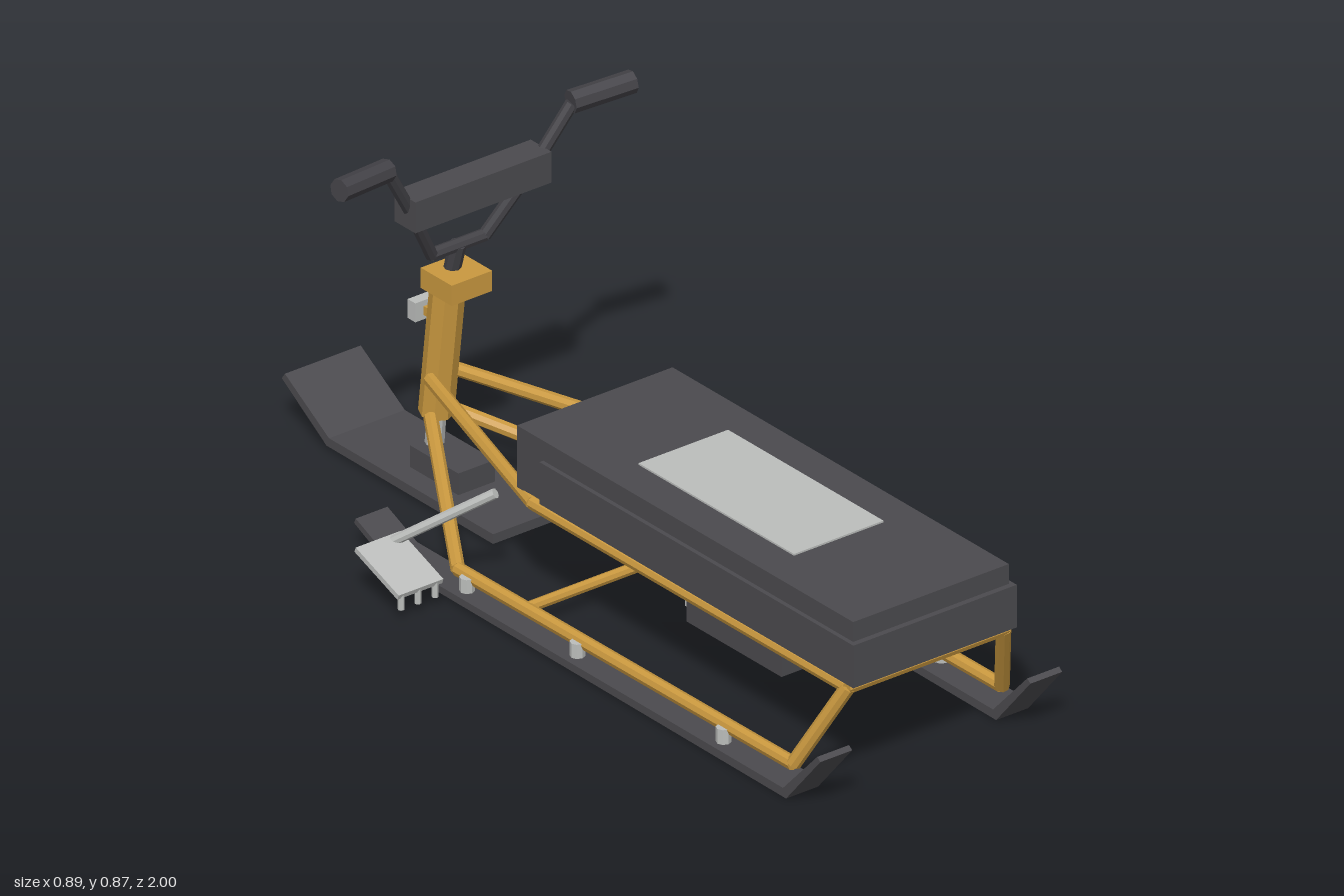
import * as THREE from 'three';

const mat = (name, color) => {
  const m = new THREE.MeshStandardMaterial({ color, flatShading: true });
  m.name = name;
  return m;
};

export function createModel() {
  const root = new THREE.Group();
  root.name = 'snowBike';
  const dark = mat('charcoal', 0x4b4a4e);
  const rubber = mat('blackRubber', 0x434247);
  const gold = mat('goldFrame', 0xc9983f);
  const silver = mat('silver', 0xbcbebc);

  const add = (name, geo, material) => {
    const mesh = new THREE.Mesh(geo, material);
    mesh.name = name;
    root.add(mesh);
    return mesh;
  };
  // Box given by its extents on each axis
  const box = (name, material, [x0, x1], [y0, y1], [z0, z1]) => {
    const mesh = add(name, new THREE.BoxGeometry(x1 - x0, y1 - y0, z1 - z0), material);
    mesh.position.set((x0 + x1) / 2, (y0 + y1) / 2, (z0 + z1) / 2);
    return mesh;
  };
  // Straight eight-sided tube between two points
  const tube = (name, material, a, b, r, sides = 8) => {
    const p = new THREE.Vector3(...a), q = new THREE.Vector3(...b);
    const d = q.clone().sub(p);
    const mesh = add(name, new THREE.CylinderGeometry(r, r, d.length(), sides), material);
    mesh.position.copy(p).add(q).multiplyScalar(0.5);
    mesh.quaternion.setFromUnitVectors(new THREE.Vector3(0, 1, 0), d.normalize());
    return mesh;
  };
  // Ski: side outline of [z, y] points extruded across its width
  const ski = (name, x, width, outline) => {
    const shape = new THREE.Shape(outline.map(([z, y]) => new THREE.Vector2(-z, y)));
    const geo = new THREE.ExtrudeGeometry(shape, { depth: width, bevelEnabled: false });
    geo.translate(0, 0, -width / 2).rotateY(Math.PI / 2);
    add(name, geo, dark).position.x = x;
  };

  // Seat with wider rear base and top panel
  box('seatCushion', dark, [-0.2, 0.2], [0.26, 0.4], [-0.115, 0.967]);
  box('seatBase', dark, [-0.21, 0.21], [0.258, 0.355], [-0.03, 0.98]);
  box('seatPanel', silver, [-0.115, 0.115], [0.399, 0.404], [0.17, 0.67]);

  // Motor box below the seat, with front plate and outlet pipe
  box('motorBox', dark, [-0.115, 0.115], [0.108, 0.223], [0.325, 0.63]);
  box('motorPlate', silver, [-0.095, 0.095], [0.125, 0.212], [0.295, 0.325]);
  tube('outletPipe', silver, [0.09, 0.157, 0.5], [0.225, 0.155, 0.59], 0.015);

  // Cross bars
  tube('rearCrossBar', gold, [-0.205, 0.246, 0.95], [0.205, 0.246, 0.95], 0.015);
  tube('lowerCrossBar', gold, [-0.265, 0.055, 0], [0.265, 0.055, 0], 0.012);

  for (const s of [1, -1]) {
    // Frame side
    const tail = [s * 0.2, 0.246, 0.95], bend = [s * 0.203, 0.248, -0.06];
    const heel = [s * 0.268, 0.057, 0.86], toe = [s * 0.268, 0.053, -0.22];
    tube('upperRail', gold, tail, bend, 0.015);
    tube('upperFrontRail', gold, bend, [s * 0.035, 0.25, -0.6], 0.015);
    tube('rearLeg', gold, tail, heel, 0.016);
    tube('lowerRail', gold, heel, toe, 0.015);
    tube('lowerFrontRail', gold, toe, [s * 0.03, 0.16, -0.605], 0.015);

    // Side ski with upturned ends, and its mounting bolts
    ski('sideSki', s * 0.27, 0.082, [
      [0.89, 0.004], [1, 0.132], [0.99, 0.14], [0.88, 0.024],
      [-0.4, 0.027], [-0.495, 0.068], [-0.5, 0.056], [-0.405, 0.012],
    ]);
    for (const z of [0.65, 0.18, -0.175]) {
      tube('skiBolt', silver, [s * 0.28, 0.02, z], [s * 0.28, 0.058, z], 0.016);
    }

    // Sloping footrest with strut and three pegs
    tube('footrestStrut', silver, [s * 0.235, 0.247, -0.14], [s * 0.36, 0.1, -0.325], 0.011);
    const plate = box('footrest', silver, [-0.0575, 0.0575], [-0.006, 0.006], [-0.074, 0.074]);
    plate.position.set(s * 0.3875, 0.084, -0.26);
    plate.rotation.x = 0.36;
    for (const x of [0.345, 0.389, 0.432]) {
      tube('footrestPeg', silver, [s * x, 0.025, -0.197], [s * x, 0.06, -0.197], 0.007);
    }

    // Handlebar half and grip
    tube('handlebarArm', rubber, [s * 0.068, 0.562, -0.555], [s * 0.162, 0.715, -0.508], 0.014);
    tube('handlebarUpper', rubber, [s * 0.162, 0.715, -0.508], [s * 0.237, 0.835, -0.485], 0.014);
    tube('grip', rubber, [s * 0.235, 0.838, -0.487], [s * 0.377, 0.847, -0.465], 0.025);
  }

  // Steering ski and its mount
  ski('frontSki', 0, 0.195, [
    [-0.32, 0.012], [-0.32, 0.034], [-0.848, 0.034],
    [-0.99, 0.122], [-1, 0.108], [-0.856, 0.014],
  ]);
  box('skiMount', dark, [-0.047, 0.047], [0.032, 0.083], [-0.65, -0.495]);

  // Steering column and lamp
  tube('forkTube', silver, [0, 0.07, -0.632], [0, 0.2, -0.618], 0.02);
  tube('steeringColumn', gold, [0, 0.155, -0.625], [0, 0.48, -0.585], 0.037);
  box('columnHead', gold, [-0.052, 0.052], [0.459, 0.505], [-0.61, -0.51]);
  box('lamp', silver, [-0.036, 0.036], [0.36, 0.403], [-0.672, -0.647]);
  box('lampBracket', gold, [-0.015, 0.015], [0.37, 0.39], [-0.65, -0.61]);

  // Handlebar stem, base bar, dash pad and display
  tube('stem', rubber, [0, 0.49, -0.577], [0, 0.565, -0.555], 0.018);
  tube('handlebarBase', rubber, [-0.07, 0.563, -0.555], [0.07, 0.563, -0.555], 0.014);
  box('dashPad', dark, [-0.175, 0.175], [0.68, 0.75], [-0.54, -0.473]);
  box('display', silver, [-0.11, 0.11], [0.697, 0.733], [-0.544, -0.538]);

  return root;
}
